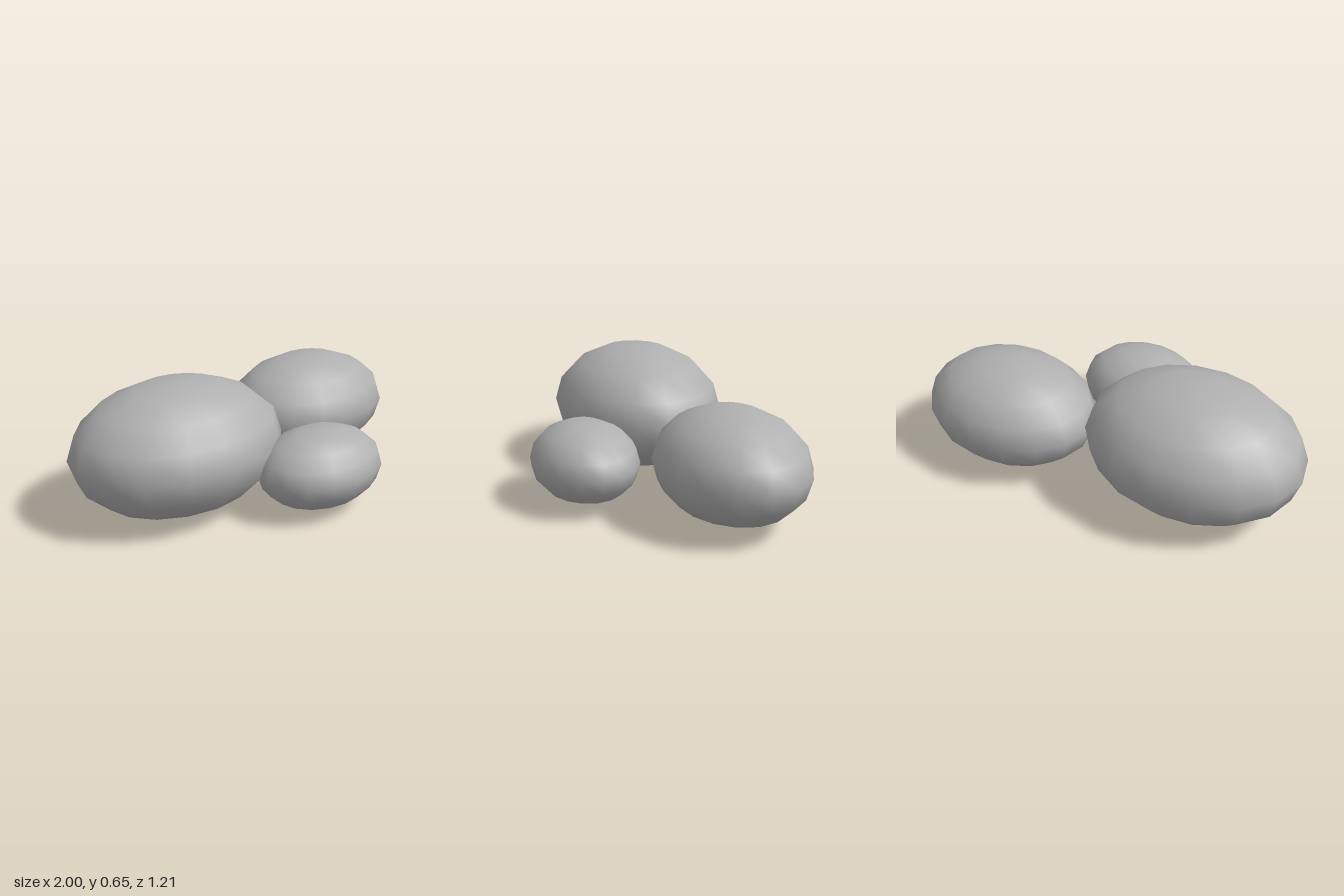
import * as THREE from 'three';

const stoneGrey = new THREE.MeshStandardMaterial({ name: 'stoneGrey', color: 0xb0b0b0 });

// Each stone is a smooth, flattened low-poly ball: centre and radii
const stones = [
  { name: 'largeStone', centre: [-0.44, 0.326, -0.1], radii: [0.56, 0.326, 0.437] },
  { name: 'mediumStone', centre: [0.537, 0.277, -0.247], radii: [0.463, 0.268, 0.36] },
  { name: 'smallStone', centre: [0.096, 0.213, 0.341], radii: [0.34, 0.197, 0.265] },
];

export function createModel() {
  const model = new THREE.Group();
  model.name = 'stoneCluster';
  const ball = new THREE.SphereGeometry(1, 16, 8);
  for (const { name, centre, radii } of stones) {
    const stone = new THREE.Mesh(ball, stoneGrey);
    stone.name = name;
    stone.position.set(...centre);
    stone.scale.set(...radii);
    model.add(stone);
  }
  return model;
}
